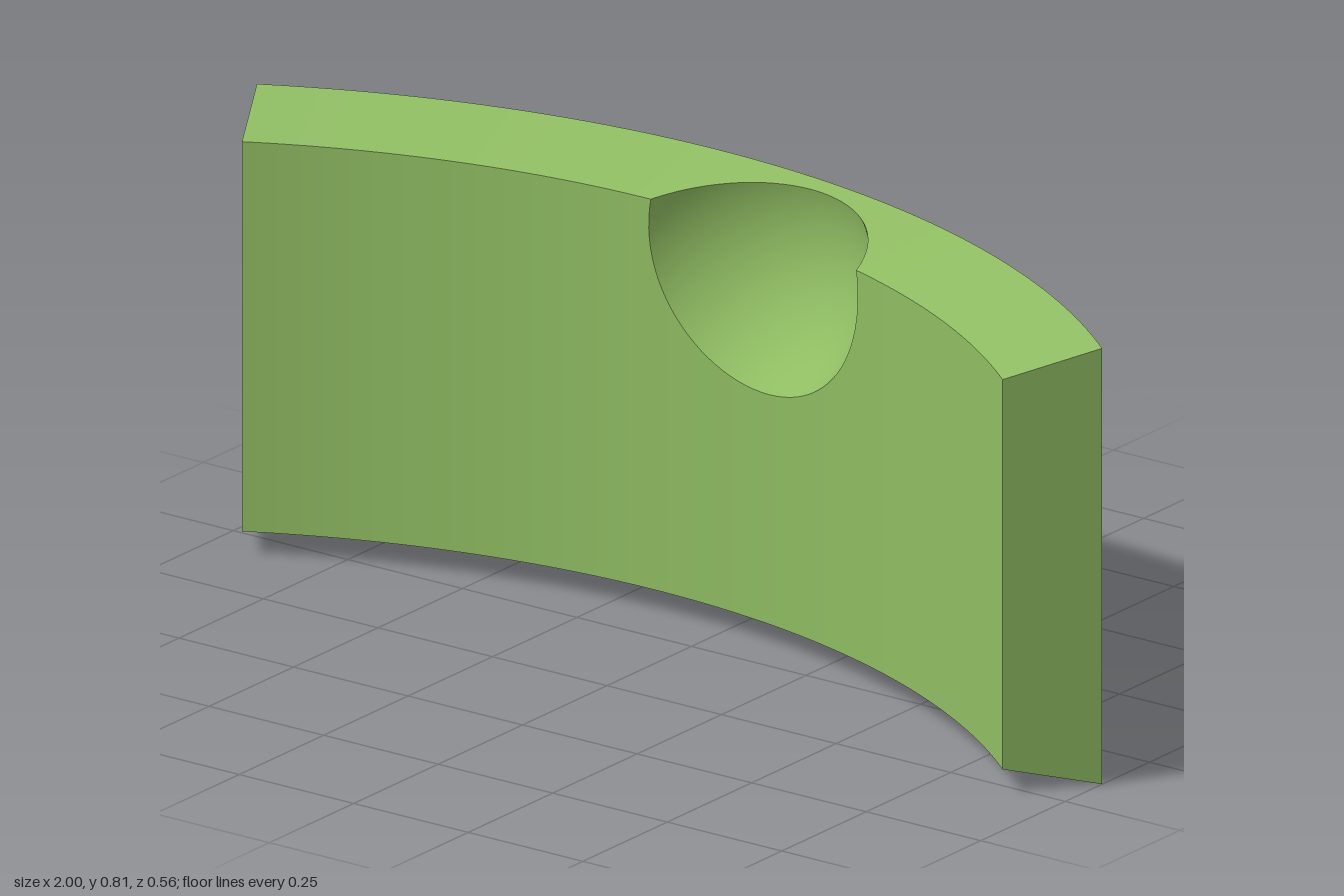
import * as THREE from 'three';

// Curved wall: an arc about a vertical axis, angles measured from -z
const AXIS = { x: -0.156, z: 1.52 };
const INNER = 1.62, OUTER = 1.8;
const START = -0.488, END = 0.697;
const TOP = 0.815, LIP = 0.043; // both rims slope by LIP towards the inside

// Spherical scoop: angle and distance from the axis, height, radius
const SCOOP = { angle: 0.155, dist: 1.503, y: 0.724, r: 0.278 };

const polar = (angle, r, y) =>
  new THREE.Vector3(AXIS.x + r * Math.sin(angle), y, AXIS.z - r * Math.cos(angle));
const topY = (r) => TOP - LIP * (OUTER - r) / (OUTER - INNER);
const scoopCentre = polar(SCOOP.angle, SCOOP.dist, SCOOP.y);

// Half-angle of the scoop opening at a given radius and height (0 = no opening)
function opening(r, y) {
  const s2 = SCOOP.r ** 2 - (y - SCOOP.y) ** 2;
  const c = (r * r + SCOOP.dist ** 2 - s2) / (2 * r * SCOOP.dist);
  return c >= 1 ? 0 : Math.acos(c);
}

// Surface from a grid of points with a normal for each point
function grid(rows, cols, pointAt, normalAt) {
  const points = [], normals = [], index = [];
  for (let i = 0; i <= rows; i++) {
    for (let j = 0; j <= cols; j++) {
      const p = pointAt(i, j / cols);
      points.push(p);
      normals.push(normalAt(p));
    }
  }
  const edge1 = new THREE.Vector3(), edge2 = new THREE.Vector3();
  const addFace = (a, b, c) => {
    edge1.subVectors(points[b], points[a]);
    edge2.subVectors(points[c], points[a]);
    const facing = edge1.cross(edge2);
    if (facing.length() < 1e-10) return;
    if (facing.dot(normals[a]) > 0) index.push(a, b, c);
    else index.push(a, c, b);
  };
  for (let i = 0; i < rows; i++) {
    for (let j = 0; j < cols; j++) {
      const a = i * (cols + 1) + j, b = a + cols + 1;
      addFace(a, b, a + 1);
      addFace(a + 1, b, b + 1);
    }
  }
  const geometry = new THREE.BufferGeometry();
  geometry.setAttribute('position', new THREE.Float32BufferAttribute(points.flatMap((p) => p.toArray()), 3));
  geometry.setAttribute('normal', new THREE.Float32BufferAttribute(normals.flatMap((n) => n.toArray()), 3));
  geometry.setIndex(index);
  return geometry;
}

export function createModel() {
  const group = new THREE.Group();
  group.name = 'curvedWall';
  const material = new THREE.MeshStandardMaterial({ color: 0x8fbc62 });
  const add = (name, geometry) => {
    const mesh = new THREE.Mesh(geometry, material);
    mesh.name = name;
    group.add(mesh);
  };

  // Lowest point of the scoop on the inner face, deepest point on the top
  const scoopBottom = SCOOP.y - Math.sqrt(SCOOP.r ** 2 - (INNER - SCOOP.dist) ** 2);
  let scoopBack = OUTER;
  for (let i = 0; i < 8; i++) {
    scoopBack = SCOOP.dist + Math.sqrt(SCOOP.r ** 2 - (topY(scoopBack) - SCOOP.y) ** 2);
  }

  // Edge of the scoop as [radius, height] steps, finer where it turns
  const N = 24;
  const innerRim = [], topRim = [];
  const lipY = topY(INNER);
  const turn = Math.acos((SCOOP.y - lipY) / (SCOOP.y - scoopBottom));
  for (let i = 0; i <= N; i++) {
    const t = i / N;
    innerRim.push([INNER, SCOOP.y - (SCOOP.y - scoopBottom) * Math.cos(turn * t)]);
    const r = INNER + (scoopBack - INNER) * Math.sin(t * Math.PI / 2);
    topRim.push([r, topY(r)]);
  }

  // Faces swept along the arc, each with its profile and outward normal [radial, up]
  const slope = LIP / (OUTER - INNER);
  const faces = {
    innerFace: { profile: [[INNER, LIP], ...innerRim], out: [-1, 0] },
    topFace: { profile: [...topRim, [OUTER, TOP]], out: [-slope, 1] },
    outerFace: { profile: [[OUTER, TOP], [OUTER, 0]], out: [1, 0] },
    bottomFace: { profile: [[OUTER, 0], [INNER, LIP]], out: [-slope, -1] },
  };
  for (const [name, { profile, out }] of Object.entries(faces)) {
    const normalAt = (p) => {
      const radial = new THREE.Vector3(p.x - AXIS.x, 0, p.z - AXIS.z).normalize();
      return radial.multiplyScalar(out[0]).setY(out[1]).normalize();
    };
    // One half on each side of the scoop
    for (const [side, end, sign] of [['Right', START, -1], ['Left', END, 1]]) {
      add(name + side, grid(profile.length - 1, 28, (i, t) => {
        const [r, y] = profile[i];
        const near = SCOOP.angle + sign * opening(r, y);
        return polar(near + (end - near) * t, r, y);
      }, normalAt));
    }
  }

  // Flat ends
  for (const [name, angle, sign] of [['rightEnd', START, -1], ['leftEnd', END, 1]]) {
    const normal = new THREE.Vector3(Math.cos(angle), 0, Math.sin(angle)).multiplyScalar(sign);
    add(name, grid(1, 1, (i, t) => {
      const r = i ? OUTER : INNER;
      return polar(angle, r, TOP - topY(r) + t * (2 * topY(r) - TOP));
    }, () => normal.clone()));
  }

  // Hollow of the scoop: horizontal arcs spanning from rim to rim
  const rim = [...innerRim, ...topRim.slice(1)];
  add('scoop', grid(rim.length - 1, 40, (i, t) => {
    const [r, y] = rim[i];
    const half = opening(r, y);
    const reach = Math.atan2(r * Math.sin(half), r * Math.cos(half) - SCOOP.dist);
    const radius = Math.sqrt(SCOOP.r ** 2 - (y - SCOOP.y) ** 2);
    const a = SCOOP.angle + reach * (2 * t - 1);
    return new THREE.Vector3(scoopCentre.x + radius * Math.sin(a), y, scoopCentre.z - radius * Math.cos(a));
  }, (p) => scoopCentre.clone().sub(p).normalize()));

  return group;
}
